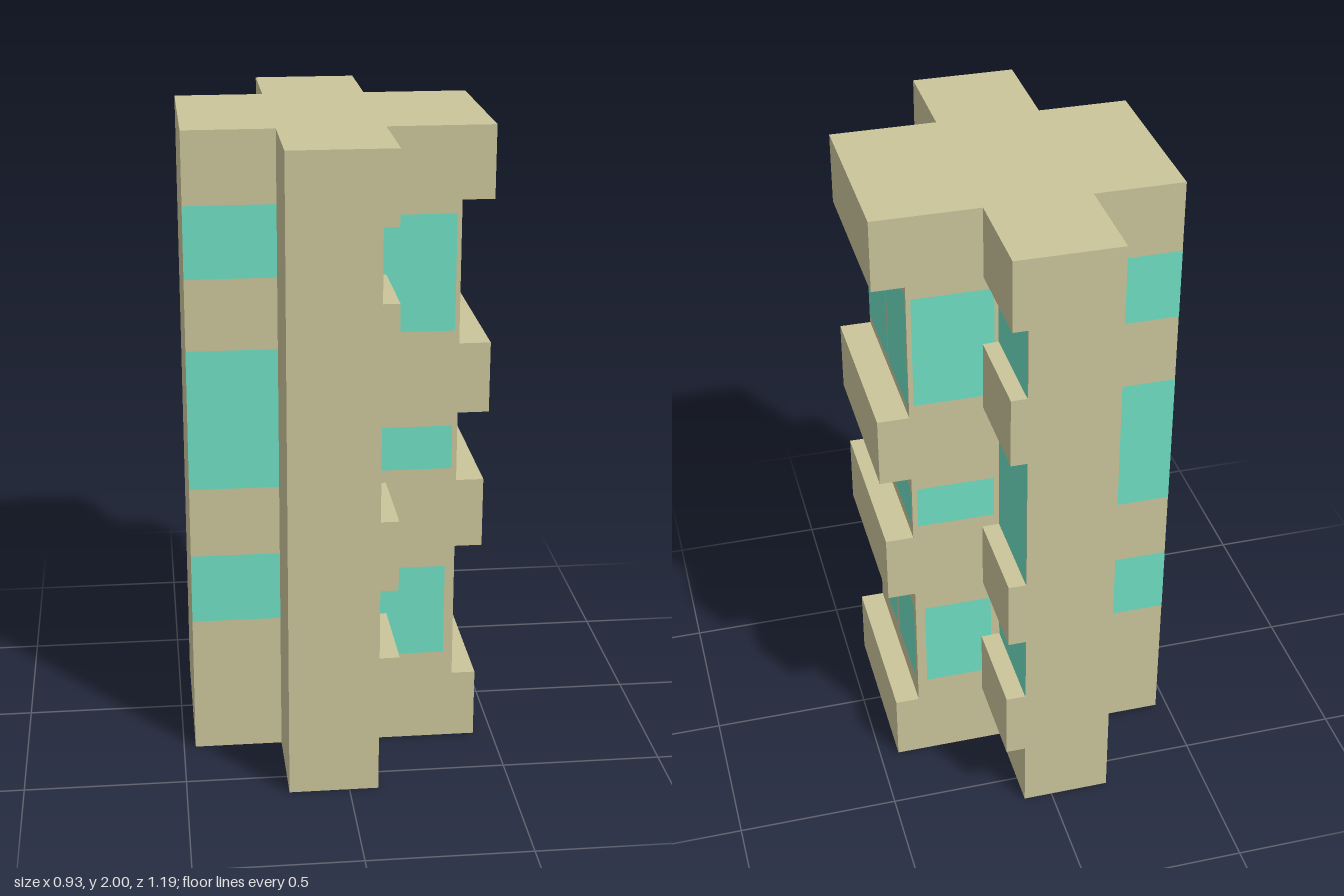
import * as THREE from 'three';

const H = 2 / 9;                       // storey height, nine storeys
const WEST = -0.463, EAST = 0.365;     // long cross arm along x
const WING_W = -0.186, WING_E = 0.09;  // wing walls facing -x and +x
const HALF = 0.283, WING_Z = 0.597;    // half depth of the x arm and of the wings

const stone = new THREE.MeshStandardMaterial({ color: 0xcac59a });
const glass = new THREE.MeshStandardMaterial({ color: 0x6fdec2 });

function addBox(parent, name, material, x0, x1, y0, y1, z0, z1) {
  const mesh = new THREE.Mesh(new THREE.BoxGeometry(x1 - x0, y1 - y0, z1 - z0), material);
  mesh.position.set((x0 + x1) / 2, (y0 + y1) / 2, (z0 + z1) / 2);
  mesh.name = name;
  parent.add(mesh);
}

// Flat pane, facing +z before it is turned
function addPane(parent, name, w, y0, y1, x, z, turn) {
  const pane = new THREE.Mesh(new THREE.PlaneGeometry(w, y1 - y0), glass);
  pane.position.set(x, (y0 + y1) / 2, z);
  pane.rotation.y = turn;
  pane.name = name;
  parent.add(pane);
}

export function createModel() {
  const model = new THREE.Group();
  model.name = 'towerBlock';
  const gap = 0.0015; // panes sit just proud of the walls

  // Cross-shaped shaft
  const plan = new THREE.Shape([
    [WING_W, -WING_Z], [WING_E, -WING_Z], [WING_E, -HALF], [EAST, -HALF],
    [EAST, HALF], [WING_E, HALF], [WING_E, WING_Z], [WING_W, WING_Z],
    [WING_W, HALF], [WEST, HALF], [WEST, -HALF], [WING_W, -HALF],
  ].map(([x, z]) => new THREE.Vector2(x, z)));
  const shaftGeometry = new THREE.ExtrudeGeometry(plan, { depth: 2, bevelEnabled: false });
  shaftGeometry.rotateX(-Math.PI / 2);
  const shaft = new THREE.Mesh(shaftGeometry, stone);
  shaft.name = 'shaft';
  model.add(shaft);

  // Balconies on the east arm: [storey, outer x]
  for (const [n, x] of [[0, 0.44], [3, 0.451], [5, 0.462], [8, 0.463]]) {
    addBox(model, 'mainBalcony', stone, EAST, x, n * H, (n + 1) * H, -HALF, HALF);
  }

  for (const side of [1, -1]) {
    const turn = side > 0 ? 0 : Math.PI;

    // Balconies on the wings: [storey, outer x]
    for (const [n, x] of [[1, 0.151], [3, 0.145], [6, 0.14], [8, 0.136]]) {
      const z = [side * HALF, side * WING_Z].sort((a, b) => a - b);
      addBox(model, 'wingBalcony', stone, WING_E, x, n * H, (n + 1) * H, z[0], z[1]);
    }

    // Full-width glazing on the wings and on the west arm: [first storey, end storey]
    for (const [a, b] of [[2, 3], [4, 6], [7, 8]]) {
      addPane(model, 'wingWindow', WING_Z - HALF, a * H, b * H,
        WING_E + gap, side * (HALF + WING_Z) / 2, Math.PI / 2);
      addPane(model, 'westWindow', WING_W - WEST, a * H, b * H,
        (WEST + WING_W) / 2, side * (HALF + gap), turn);
    }

    // East arm, end windows in pairs: [y0, y1, inner z, outer z]
    for (const [y0, y1, z0, z1] of [
      [0.3, 0.6, 0.018, 0.264], [0.93, 1.07, 0.01, 0.273], [1.365, 1.75, 0.006, 0.278],
    ]) {
      addPane(model, 'eastWindow', z1 - z0, y0, y1, EAST + gap, side * (z0 + z1) / 2, Math.PI / 2);
    }

    // East arm, side windows: [y0, y1, x0, x1]
    for (const [y0, y1, x0, x1] of [
      [0.3, 0.6, 0.12, 0.335], [0.93, 1.07, 0.108, 0.349], [1.375, 1.737, 0.105, 0.351],
    ]) {
      addPane(model, 'sideWindow', x1 - x0, y0, y1, (x0 + x1) / 2, side * (HALF + gap), turn);
    }
  }
  return model;
}
